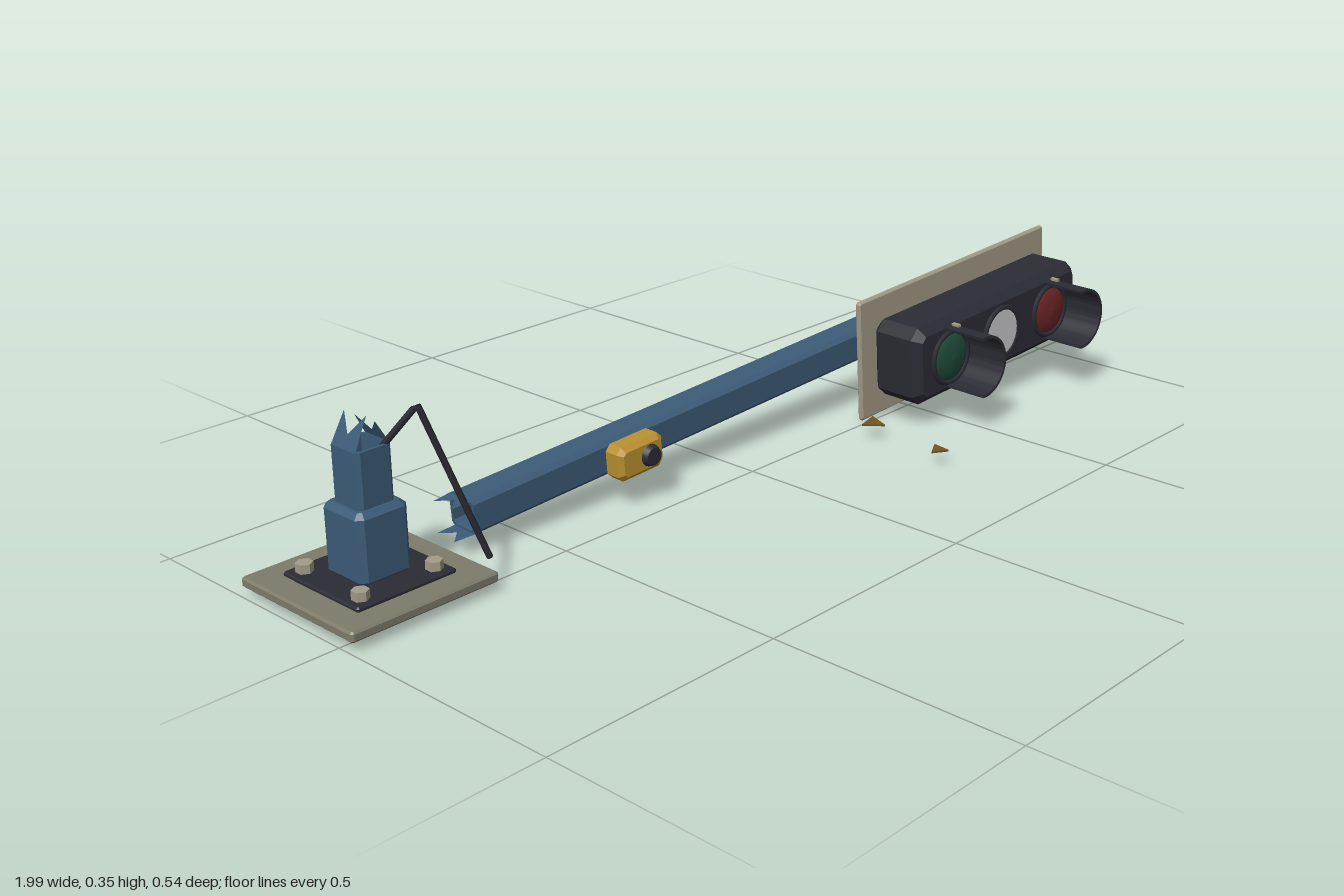
import * as THREE from 'three';
import { toCreasedNormals } from 'three/addons/utils/BufferGeometryUtils.js';

const material = (name, color, side = THREE.FrontSide) =>
  new THREE.MeshStandardMaterial({ name, color, side });

// Rectangle outline with cut corners
function cutRect(w, h, c, Type = THREE.Shape) {
  const x = w / 2, y = h / 2;
  return new Type([
    [-x + c, -y], [x - c, -y], [x, -y + c], [x, y - c],
    [x - c, y], [-x + c, y], [-x, y - c], [-x, -y + c],
  ].map(([a, b]) => new THREE.Vector2(a, b)));
}

// Box with every edge chamfered, centred on the origin
function chamferBox(w, h, d, c) {
  const geo = new THREE.ExtrudeGeometry(cutRect(w - 2 * c, h - 2 * c, c * 0.6), {
    depth: d - 2 * c, bevelThickness: c, bevelSize: c, bevelSegments: 1,
  });
  return geo.translate(0, 0, -(d - 2 * c) / 2);
}

// Hollow square post running from z = 0 to z = length
function hollowPost(size, length) {
  const shape = cutRect(size, size, 0.009);
  shape.holes.push(cutRect(size - 0.012, size - 0.012, 0.007, THREE.Path));
  return new THREE.ExtrudeGeometry(shape, { depth: length, bevelEnabled: false });
}

// Torn strip of wall with two prongs
function tornFlap(w, h) {
  const pts = [[-0.5, 0], [0.5, 0], [0.46, 0.95], [0.02, 0.4], [-0.42, 1]];
  return new THREE.ShapeGeometry(new THREE.Shape(
    pts.map(([x, y]) => new THREE.Vector2(x * w, y * h))));
}

export function createModel() {
  const blue = material('paintedSteel', 0x3c5b77);
  const tornBlue = blue;
  tornBlue.side = THREE.DoubleSide;
  const dark = material('blackPlastic', 0x2b2b34);
  const concrete = material('concrete', 0x7d7c6b);
  const boardPaint = material('boardPaint', 0xa39b88);
  const yellow = material('yellowBox', 0xba9130);
  const green = material('greenGlass', 0x1f4a38);
  const red = material('redGlass', 0x6a2426);
  const white = material('reflector', 0xc9c9cc);
  const amber = material('amberGlass', 0x6e5524);

  const model = new THREE.Group();
  model.name = 'fallenTrafficLight';

  const add = (parent, name, geo, mat, x = 0, y = 0, z = 0) => {
    const mesh = new THREE.Mesh(geo, mat);
    mesh.name = name;
    mesh.position.set(x, y, z);
    parent.add(mesh);
    return mesh;
  };

  // Footing with the broken stub
  const footing = new THREE.Group();
  footing.name = 'footing';
  footing.position.set(-0.843, 0, -0.12);
  model.add(footing);
  add(footing, 'baseSlab', chamferBox(0.312, 0.312, 0.02, 0.004).rotateX(-Math.PI / 2), concrete, 0, 0.035, 0);
  add(footing, 'flange', chamferBox(0.21, 0.21, 0.01, 0.003).rotateX(-Math.PI / 2), dark, 0, 0.048, 0);
  for (const sx of [-1, 1]) for (const sz of [-1, 1]) {
    add(footing, 'anchorBolt', new THREE.CylinderGeometry(0.016, 0.016, 0.02, 6).toNonIndexed(),
      boardPaint, sx * 0.078, 0.06, sz * 0.078).geometry.computeVertexNormals();
  }
  add(footing, 'stubSleeve', chamferBox(0.108, 0.108, 0.135, 0.01).rotateX(-Math.PI / 2), blue, 0, 0.117, 0);
  add(footing, 'stubPost', hollowPost(0.077, 0.12).rotateX(-Math.PI / 2), blue, 0, 0.168, 0);
  for (const s of [-1, 1]) {
    const flap = add(footing, 'tornStubEdge', tornFlap(0.066, s < 0 ? 0.066 : 0.05), tornBlue, s * 0.036, 0.286, 0);
    flap.rotation.set(0, Math.PI / 2, 0);
    flap.rotateX(s * -0.5);
  }

  // Loose cable hanging out of the stub
  const cable = new THREE.CurvePath();
  const bend = [[-0.825, 0.27, -0.1], [-0.783, 0.36, -0.038], [-0.688, 0.065, 0.014]]
    .map((p) => new THREE.Vector3(...p));
  cable.add(new THREE.LineCurve3(bend[0], bend[1]));
  cable.add(new THREE.LineCurve3(bend[1], bend[2]));
  add(model, 'cable', new THREE.TubeGeometry(cable, 40, 0.006, 6), dark);

  // Fallen pole: local x runs along the pole
  const fallen = new THREE.Group();
  fallen.name = 'fallenPole';
  fallen.position.set(0, 0.12, -0.118);
  fallen.rotation.set(0, -0.035, 0.066, 'YXZ');
  model.add(fallen);
  add(fallen, 'pole', hollowPost(0.07, 1.582).rotateY(Math.PI / 2), blue, -0.622, 0, 0);
  add(fallen, 'poleCap', chamferBox(0.1, 0.1, 0.024, 0.005).rotateY(Math.PI / 2), dark, 0.968, 0, 0);
  for (const s of [-1, 1]) {
    const flap = add(fallen, 'tornPoleEdge', tornFlap(0.06, 0.045).rotateX(Math.PI / 2).rotateY(-Math.PI / 2),
      tornBlue, -0.62, s * 0.033, 0);
    flap.scale.z = s;
  }

  // Push-button box
  add(fallen, 'buttonBox', chamferBox(0.115, 0.07, 0.05, 0.01), yellow, -0.258, 0, 0.06);
  const button = add(fallen, 'button', new THREE.CylinderGeometry(0.018, 0.023, 0.014, 20), dark, -0.24, 0, 0.09);
  button.rotation.x = Math.PI / 2;

  // Backing board and its brackets
  add(fallen, 'backBoard', chamferBox(0.632, 0.266, 0.013, 0.004), boardPaint, 0.668, -0.004, 0.088);
  for (const x of [0.465, 0.868]) {
    add(fallen, 'bracket', chamferBox(0.044, 0.042, 0.055, 0.007), dark, x, 0, 0.058);
  }

  // Signal head
  const head = new THREE.Group();
  head.name = 'signalHead';
  head.position.set(0.664, -0.002, 0);
  fallen.add(head);
  add(head, 'housing', chamferBox(0.556, 0.17, 0.126, 0.018), dark, 0, 0, 0.157);

  const hood = new THREE.Shape();
  hood.absarc(0, 0, 0.067, -1.72, 1.72, false);
  hood.absarc(0, 0, 0.061, 1.72, -1.72, true);
  const hoodGeo = toCreasedNormals(new THREE.ExtrudeGeometry(hood,
    { depth: 0.097, bevelEnabled: false, curveSegments: 24 }), 0.6);
  const dome = new THREE.LatheGeometry(
    [[0.054, 0], [0.048, 0.006], [0.03, 0.012], [0, 0.015]].map((p) => new THREE.Vector2(...p)), 28)
    .rotateX(Math.PI / 2);

  [[-0.172, green, 'greenLens'], [0, white, 'bareReflector'], [0.172, red, 'redLens']].forEach(([x, mat, name]) => {
    const bare = mat === white;
    add(head, 'lensRing', new THREE.TorusGeometry(0.056, 0.006, 6, 28), dark, x, 0, 0.221);
    if (bare) {
      add(head, name, new THREE.CylinderGeometry(0.053, 0.053, 0.006, 28).rotateX(Math.PI / 2), mat, x, 0, 0.221);
      return;
    }
    add(head, name, dome, mat, x, 0, 0.219);
    add(head, 'hood', hoodGeo, dark, x, 0, 0.218);
    for (const s of [-1, 1]) {
      add(head, 'hoodScrew', new THREE.BoxGeometry(0.009, 0.009, 0.018), boardPaint, x + 0.012, s * 0.067, 0.227);
    }
  });

  // Broken amber lens pieces: x, z, size, turn
  [[0.275, 0.25, 0.021, 0.5], [0.302, 0.062, 0.027, 0.2], [0.73, -0.033, 0.029, 1.3], [0.475, -0.03, 0.025, 0.9]]
    .forEach(([x, z, r, turn]) => {
      const shard = add(model, 'lensShard', new THREE.CylinderGeometry(r, r, 0.004, 3).toNonIndexed(), amber, x, 0.04, z);
      shard.geometry.computeVertexNormals();
      shard.rotation.set(0.05, turn, 0.05);
    });

  return model;
}
